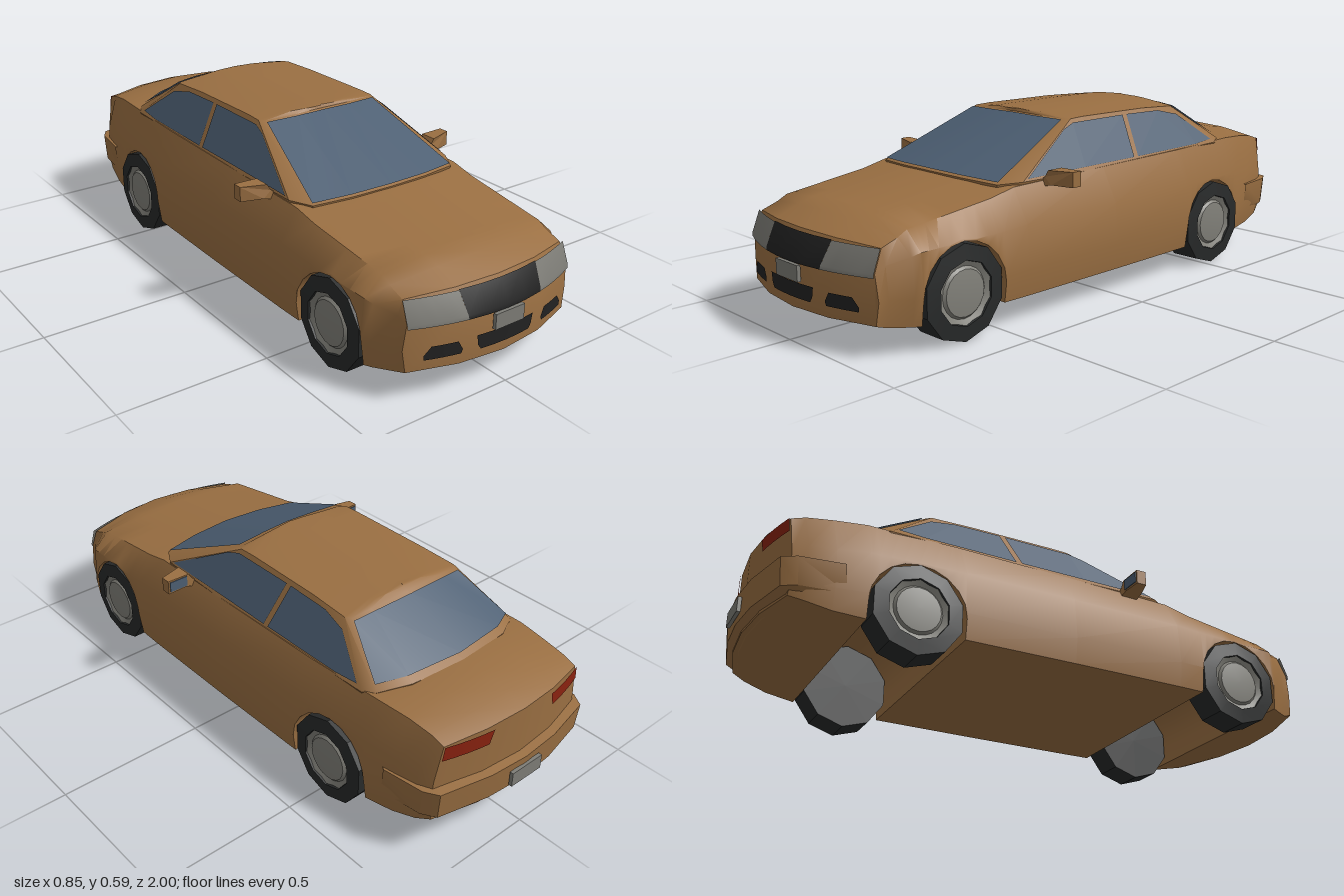
import * as THREE from 'three';
import { toCreasedNormals } from 'three/addons/utils/BufferGeometryUtils.js';

const mat = (name, color, double) => {
  const m = new THREE.MeshStandardMaterial({ color });
  m.name = name;
  if (double) m.side = THREE.DoubleSide;
  return m;
};
const lerp = THREE.MathUtils.lerp;
const mix = (a, b, t) => a.map((v, k) => lerp(v, b[k], t));
const flip = ([x, y, z]) => [-x, y, z];
// half outline starting on the centre line -> full outline from left to right
const both = (half) => [...half.slice(1).reverse().map(flip), ...half];

// triangles from point rows, plus optional extra quads, with creased normals
function surface(rows, quads = [], crease = 0.6) {
  const pos = [];
  const tri = (a, b, c) => {
    const [A, B, C] = [a, b, c].map((p) => new THREE.Vector3(...p));
    if (B.clone().sub(A).cross(C.clone().sub(A)).length() > 1e-8) pos.push(...a, ...b, ...c);
  };
  const quad = (a, b, c, d) => { tri(a, b, c); tri(a, c, d); };
  for (let i = 0; i + 1 < rows.length; i++) {
    for (let j = 0; j + 1 < rows[i].length; j++) {
      quad(rows[i][j], rows[i + 1][j], rows[i + 1][j + 1], rows[i][j + 1]);
    }
  }
  quads.forEach((q) => quad(...q));
  const g = new THREE.BufferGeometry();
  g.setAttribute('position', new THREE.Float32BufferAttribute(pos, 3));
  return toCreasedNormals(g, crease);
}

const WHEELS = [0.645, -0.535], AXLE = 0.15, ARCH = 0.154;

// z, half width, shoulder y, belt half width, belt y, centre y, bottom y, end bend
const STATIONS = [
  [0.985, 0.325, 0.24, 0.315, 0.25, 0.252, 0.1, 0.07],
  [0.945, 0.33, 0.27, 0.31, 0.318, 0.33, 0.09, 0.06],
  [0.86, 0.367, 0.29, 0.31, 0.338, 0.365, 0.085, 0.03],
  [0.799, 0.38, 0.3, 0.31, 0.355, 0.38, 0.085, 0],
  [0.491, 0.388, 0.305, 0.318, 0.395, 0.42, 0.085, 0],
  [0.4, 0.39, 0.31, 0.32, 0.415, 0.43, 0.085, 0],
  [0, 0.39, 0.31, 0.322, 0.422, 0.44, 0.085, 0],
  [-0.381, 0.386, 0.31, 0.322, 0.427, 0.44, 0.085, 0],
  [-0.689, 0.37, 0.31, 0.31, 0.432, 0.46, 0.09, 0],
  [-0.8, 0.355, 0.3, 0.298, 0.426, 0.452, 0.1, -0.01],
  [-0.9, 0.34, 0.3, 0.292, 0.415, 0.437, 0.12, -0.03],
  [-0.965, 0.32, 0.28, 0.29, 0.4, 0.415, 0.135, -0.055],
];

// half cross-section from bottom centre to top centre
function section([z, w, sh, bw, by, cy, b, bend], floor = b) {
  const nodes = [[b, w * 0.97], [0.17, w], [sh, w * 0.975], [by, bw]];
  const width = (y) => {
    for (let k = 0; k < 3; k++) {
      const [y0, w0] = nodes[k], [y1, w1] = nodes[k + 1];
      if (y <= y1) return lerp(w0, w1, (y - y0) / (y1 - y0));
    }
    return bw;
  };
  const y1 = Math.max(0.17, floor + 0.003), y2 = Math.max(sh, floor + 0.006);
  const e = width(floor);
  return [[0, floor], [e / 2, floor], [e, floor], [width(y1), y1], [width(y2), y2],
    [bw, by], [bw / 2, lerp(by, cy, 0.75)], [0, cy]]
    .map(([x, y]) => [x, y, z - bend * (x / 0.32) ** 2]);
}

function bodyGeometry() {
  const halves = [];
  STATIONS.forEach((s, i) => {
    halves.push(section(s));
    // wheel arch cut through the full width after this station
    const wheel = WHEELS.find((z) => Math.abs(z + ARCH - s[0]) < 0.002);
    if (wheel === undefined) return;
    for (let k = 0; k <= 10; k++) {
      const a = (k / 10) * Math.PI;
      const st = mix(s, STATIONS[i + 1], (1 - Math.cos(a)) / 2);
      halves.push(section(st, AXLE + ARCH * Math.sin(a)));
    }
  });
  const rings = halves.map((h) => [...h, ...h.slice(0, -1).reverse().map(flip)]);
  // nose and tail closing faces
  const caps = [];
  [[halves[0], false], [halves[halves.length - 1], true]].forEach(([h, back]) => {
    [[0, 1, 6, 7], [1, 2, 5, 6], [2, 3, 4, 5]].forEach((ids) => {
      const q = ids.map((k) => h[k]), m = q.map(flip).reverse();
      caps.push(back ? q.reverse() : q, back ? m.reverse() : m);
    });
  });
  return surface(rings, caps, 0.7);
}

// cabin outlines at the belt and the roof edge, rear centre to front centre
const BELT = [[0, 0.455, -0.73], [0.2, 0.45, -0.705], [0.295, 0.435, -0.655], [0.318, 0.427, -0.615],
  [0.322, 0.42, -0.2], [0.322, 0.42, 0.1], [0.32, 0.424, 0.36], [0.28, 0.42, 0.43], [0.15, 0.425, 0.455], [0, 0.428, 0.465]];
const ROOF = [[0, 0.578, -0.475], [0.15, 0.574, -0.47], [0.222, 0.568, -0.465], [0.236, 0.568, -0.45],
  [0.232, 0.575, -0.3], [0.23, 0.578, 0], [0.231, 0.576, 0.06], [0.215, 0.576, 0.075], [0.1, 0.578, 0.085], [0, 0.58, 0.088]];

function cabinGeometry() {
  const ring = (h) => [...h, ...h.slice(0, -1).reverse().map(flip)];
  const sunk = BELT.map(([x, y, z]) => [x * 0.97, y - 0.04, z * 0.99]);
  const crown = ROOF.map(([x, y, z]) => [x * 0.5, lerp(y, 0.592, 0.7), z * 0.97]);
  const ridge = ROOF.map(([, y, z]) => [0, lerp(y, 0.592, 0.9), z * 0.95]);
  return surface([sunk, BELT, ROOF, crown, ridge].map(ring), [], 0.5);
}

export function createModel() {
  const car = new THREE.Group();
  car.name = 'car';
  const paint = mat('bronze paint', 0x9a6f42);
  const glass = mat('blue glass', 0x4c5e72, true);
  const black = mat('black trim', 0x222222, true);
  const rubber = mat('tyre rubber', 0x282a2a);
  const lamp = mat('lamp grey', 0x7e7d77, true);
  const metal = mat('wheel grey', 0x82817a);
  const red = mat('tail red', 0x8a2210, true);
  const add = (name, geo, material) => {
    const m = new THREE.Mesh(geo, material);
    m.name = name;
    car.add(m);
    return m;
  };

  add('body', bodyGeometry(), paint);
  add('cabin', cabinGeometry(), paint);

  // rear bumper
  const hoop = [[0, -0.993], [0.14, -0.983], [0.315, -0.945], [0.342, -0.9], [0.361, -0.76]];
  const bumperRows = [[0.13, 0.94, 0.045], [0.16, 0.99, 0.008], [0.252, 1, 0], [0.258, 0.9, 0.05]]
    .map(([y, k, dz]) => both(hoop.map(([x, z]) => [x * k, y, z + dz])));
  add('rearBumper', surface(bumperRows), paint);

  // windscreen and rear window follow the cabin faces
  const pane = (ids, v0, v1, dz) => surface([v0, v1].map((v) => both(ids.map((j) => {
    const [x, y, z] = mix(BELT[j], ROOF[j], v);
    return [x, y + 0.004, z + dz];
  }))));
  add('windscreen', pane([9, 8, 7], 0.02, 0.97, 0.003), glass);
  add('rearWindow', pane([0, 1, 2], 0.1, 0.95, -0.003), glass);

  // thin plates on the nose and tail
  const noseZ = (x, y) => {
    const t = Math.max(0, (y - 0.25) / 0.075);
    return lerp(0.985, 0.945, t) - lerp(0.07, 0.06, t) * (x / 0.32) ** 2 + 0.007;
  };
  const tailZ = (x) => -0.97 + 0.055 * (x / 0.32) ** 2;
  const plate = (zAt, rows) => surface(rows.map(([y, x0, x1]) =>
    [0, 0.25, 0.5, 0.75, 1].map((t) => {
      const x = lerp(x0, x1, t);
      return [x, y, zAt(x, y)];
    })));
  add('grille', plate(noseZ, [[0.24, -0.14, 0.14], [0.252, -0.142, 0.142], [0.322, -0.15, 0.15]]), black);
  add('lowerIntake', plate(noseZ, [[0.135, -0.095, 0.095], [0.15, -0.105, 0.105], [0.182, -0.11, 0.11]]), black);
  add('frontPlate', new THREE.BoxGeometry(0.112, 0.05, 0.012).translate(0, 0.213, 0.994), lamp);
  add('rearPlate', new THREE.BoxGeometry(0.13, 0.05, 0.012).translate(0, 0.2, -0.994), lamp);

  // side window corners as z, y
  const sideX = (y) => 0.326 - (y - 0.42) * 0.582;
  const sideWindows = {
    frontSideWindow: [[[0.34, 0.431], [0.08, 0.432], [-0.16, 0.432]], [[0.11, 0.55], [0.06, 0.565], [-0.185, 0.565]]],
    rearSideWindow: [[[-0.18, 0.432], [-0.5, 0.434], [-0.59, 0.441]], [[-0.205, 0.565], [-0.37, 0.561], [-0.46, 0.54]]],
  };

  for (const s of [1, -1]) {
    const side = s > 0 ? 'left' : 'right';
    for (const [name, rows] of Object.entries(sideWindows)) {
      add(`${side} ${name}`, surface(rows.map((r) => r.map(([z, y]) => [s * sideX(y), y, z]))), glass);
    }
    add(`${side} headlight`, plate(noseZ, [[0.24, s * 0.14, s * 0.318], [0.252, s * 0.142, s * 0.318], [0.32, s * 0.15, s * 0.316]]), lamp);
    add(`${side} fogIntake`, plate(noseZ, [[0.137, s * 0.16, s * 0.27], [0.15, s * 0.155, s * 0.272], [0.178, s * 0.17, s * 0.25]]), black);
    add(`${side} tailLight`, plate(tailZ, [[0.353, s * 0.14, s * 0.297], [0.4, s * 0.125, s * 0.29]]), red);

    // door mirror, tapering outward at the front
    const outline = [[0.31, 0.395], [0.355, 0.407], [0.425, 0.405], [0.425, 0.454], [0.342, 0.452], [0.328, 0.43], [0.31, 0.42]];
    const shape = new THREE.Shape(outline.map(([x, y]) => new THREE.Vector2(s * x, y)));
    const shell = new THREE.ExtrudeGeometry(shape, { depth: 0.06, bevelEnabled: false });
    const p = shell.attributes.position;
    for (let i = 0; i < p.count; i++) {
      if (p.getZ(i) > 0.01 && Math.abs(p.getX(i)) > 0.4) p.setZ(i, 0.035);
    }
    shell.translate(0, 0, 0.215);
    shell.computeVertexNormals();
    add(`${side} mirror`, shell, paint);
    add(`${side} mirrorGlass`, new THREE.BoxGeometry(0.068, 0.036, 0.004).translate(s * 0.385, 0.43, 0.214), glass);

    // wheels
    WHEELS.forEach((z, i) => {
      const lathe = (pts, n, crease) => toCreasedNormals(
        new THREE.LatheGeometry(pts.map(([x, y]) => new THREE.Vector2(x, y)), n, Math.PI / 10), crease)
        .rotateZ(-s * Math.PI / 2).translate(s * 0.325, AXLE, z);
      const label = `${side} ${i ? 'rear' : 'front'}`;
      add(`${label} tyre`, lathe([[0, -0.05], [0.149, -0.05], [0.149, 0.052], [0.1, 0.058], [0.095, 0.04]], 10, 0.5), rubber);
      add(`${label} hub`, lathe([[0.1, 0.054], [0.08, 0.044], [0.072, 0.052], [0, 0.06]], 20, 0.5), metal);
    });
  }
  return car;
}
